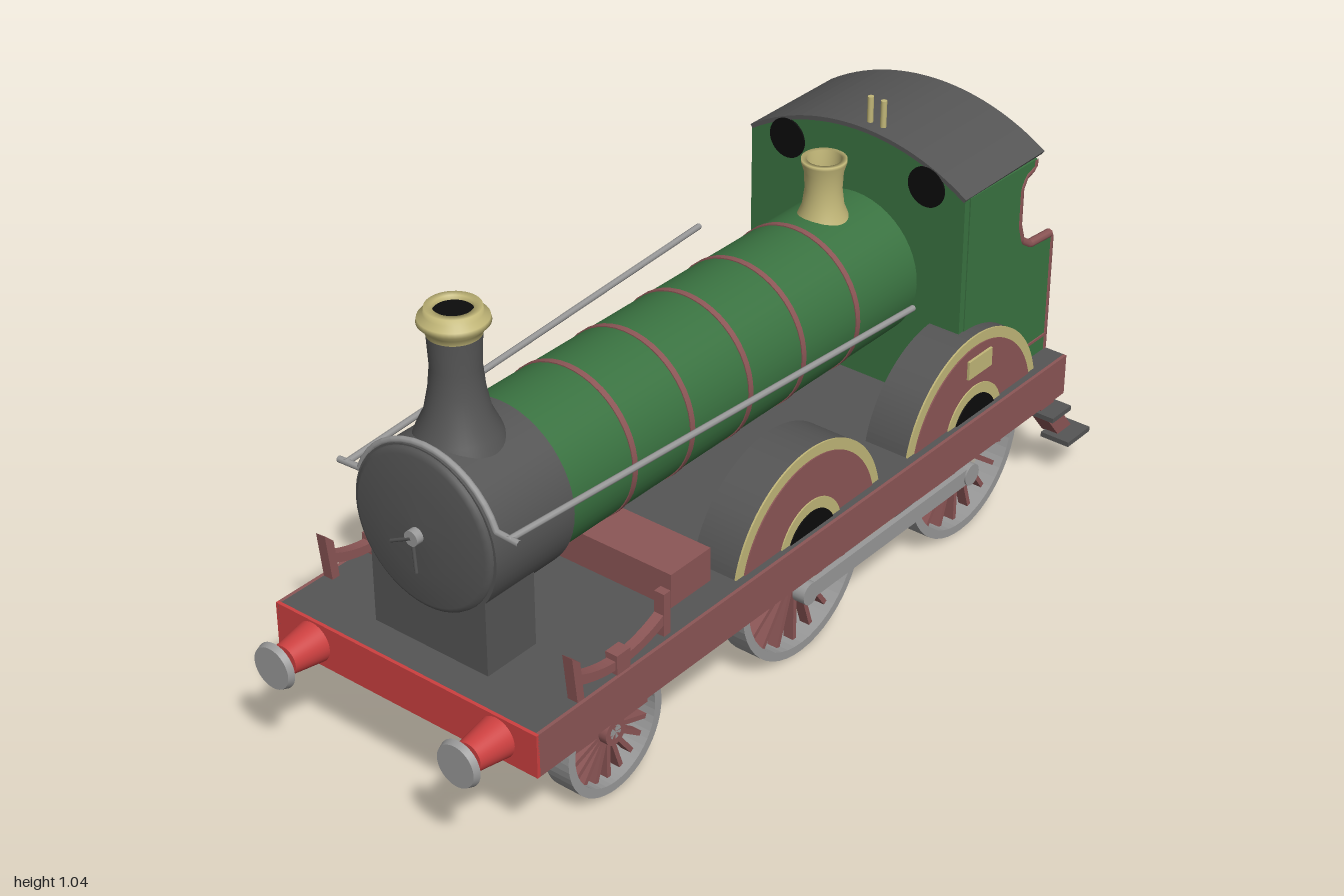
import * as THREE from 'three';

const mat = (name, color, side = THREE.FrontSide) => {
  const m = new THREE.MeshStandardMaterial({ color, side });
  m.name = name;
  return m;
};

export function createModel() {
  const root = new THREE.Group();
  root.name = 'steamEngine';
  const dark = mat('darkGrey', 0x555555, THREE.DoubleSide);
  const green = mat('green', 0x3a7341);
  const maroon = mat('maroon', 0x8c5656);
  const red = mat('red', 0xcc4040);
  const brass = mat('brass', 0xc2b778, THREE.DoubleSide);
  const steel = mat('steel', 0x999999);
  const black = mat('black', 0x0c0c0c);

  const add = (name, geo, m, parent = root) => {
    const mesh = new THREE.Mesh(geo, m);
    mesh.name = name;
    parent.add(mesh);
    return mesh;
  };
  // Box given by its two extremes on each axis
  const box = (name, x0, x1, y0, y1, z0, z1, m) =>
    add(name, new THREE.BoxGeometry(Math.abs(x1 - x0), y1 - y0, Math.abs(z1 - z0))
      .translate((x0 + x1) / 2, (y0 + y1) / 2, (z0 + z1) / 2), m);
  // Cylinder along z
  const zCyl = (name, rFront, rBack, z0, z1, x, y, m, open = false) =>
    add(name, new THREE.CylinderGeometry(rFront, rBack, z1 - z0, 48, 1, open)
      .rotateX(Math.PI / 2).translate(x, y, (z0 + z1) / 2), m);
  // Slab with a (z, y) outline between two x positions
  const slab = (name, shape, xa, xb, z, m) =>
    add(name, new THREE.ExtrudeGeometry(shape, { depth: Math.abs(xb - xa), bevelEnabled: false, curveSegments: 28 })
      .rotateY(-Math.PI / 2).translate(Math.max(xa, xb), 0, z), m);
  const poly = pts => new THREE.Shape(pts.map(p => new THREE.Vector2(p[0], p[1])));
  // Circle of radius r at height cy, cut off below yBase
  const cutDisc = (r, cy, yBase) => {
    const a = Math.asin((yBase - cy) / r);
    return new THREE.Shape().absarc(0, cy, r, a, Math.PI - a, false);
  };
  const lathe = (name, pts, y, z, m) =>
    add(name, new THREE.LatheGeometry(pts.map(p => new THREE.Vector2(p[0], p[1])), 40), m).position.set(0, y, z);
  const tube = (name, pts, r, m) => {
    const path = new THREE.CurvePath();
    for (let i = 1; i < pts.length; i++) {
      path.add(new THREE.LineCurve3(new THREE.Vector3(...pts[i - 1]), new THREE.Vector3(...pts[i])));
    }
    return add(name, new THREE.TubeGeometry(path, pts.length * 8, r, 8), m);
  };

  // Footplate, side frames and front beam
  box('footplate', -0.34, 0.34, 0.22, 0.32, -0.935, 0.875, dark);
  box('bufferBeam', -0.348, 0.348, 0.22, 0.32, 0.875, 0.883, red);
  box('frontTruck', -0.21, 0.21, 0.15, 0.22, 0.5, 0.715, dark);
  box('frontTruckPlate', -0.21, 0.21, 0.15, 0.22, 0.715, 0.722, maroon);
  box('crossBox', -0.28, 0.28, 0.32, 0.4, 0.275, 0.4, maroon);

  // Boiler with bands, smokebox and saddle
  zCyl('boiler', 0.172, 0.172, -0.6, 0.6, 0, 0.597, green);
  for (const z of [0.38, 0.2, 0.01, -0.17, -0.36]) zCyl('boilerBand', 0.1745, 0.1745, z - 0.007, z + 0.007, 0, 0.597, maroon);
  const backhead = add('backhead', new THREE.SphereGeometry(0.17, 36, 20), green);
  backhead.position.set(0, 0.597, -0.6);
  backhead.scale.z = 0.4;
  zCyl('smokebox', 0.184, 0.184, 0.575, 0.8, 0, 0.597, dark);
  const door = add('smokeboxDoor', new THREE.LatheGeometry(
    [[0.178, 0], [0.176, 0.008], [0.165, 0.014], [0.09, 0.022], [0, 0.025]].map(p => new THREE.Vector2(...p)), 48)
    .rotateX(Math.PI / 2), dark);
  door.position.set(0, 0.6, 0.798);
  box('saddle', -0.15, 0.15, 0.32, 0.52, 0.66, 0.8, dark);
  zCyl('doorBoss', 0.017, 0.017, 0.82, 0.84, 0, 0.598, steel);
  tube('doorHandle', [[0, 0.598, 0.835], [0.006, 0.52, 0.835]], 0.004, dark);
  tube('doorHandle', [[0, 0.598, 0.838], [-0.055, 0.57, 0.838]], 0.004, dark);

  // Chimney and safety valve cover
  lathe('chimney', [[0.1, -0.03], [0.085, 0.01], [0.066, 0.05], [0.056, 0.1], [0.051, 0.15], [0.055, 0.23]], 0.77, 0.695, dark);
  lathe('chimneyCap', [[0.055, 0], [0.058, 0.012], [0.072, 0.026], [0.07, 0.036], [0.058, 0.045], [0.056, 0.057], [0.04, 0.057], [0.04, 0.04]],
    0.988, 0.695, brass);
  lathe('chimneyBore', [[0.042, 0], [0, 0.001]], 1.035, 0.695, black);
  lathe('valveCover', [[0.058, 0], [0.046, 0.03], [0.041, 0.07], [0.043, 0.11], [0.05, 0.133], [0.05, 0.14], [0.038, 0.14], [0.036, 0.05]],
    0.757, -0.46, brass);

  // Hand rail over the smokebox
  const arc = [];
  for (let i = 0; i <= 16; i++) {
    const a = 0.36 + (Math.PI - 0.72) * i / 16;
    arc.push([0.19 * Math.cos(a), 0.597 + 0.187 * Math.sin(a), 0.79]);
  }
  tube('smokeboxRail', [[0.235, 0.66, 0.79], ...arc, [-0.235, 0.66, 0.79]], 0.007, steel);

  // Cab: front wall, roof, sides
  const R = 0.528, cy = 0.402, half = Math.asin(0.29 / R);
  const wall = new THREE.Shape();
  wall.moveTo(-0.288, 0.32);
  wall.lineTo(0.288, 0.32);
  wall.absarc(0, cy, R - 0.006, Math.PI / 2 - half, Math.PI / 2 + half, false);
  add('cabFront', new THREE.ExtrudeGeometry(wall, { depth: 0.02, bevelEnabled: false, curveSegments: 12 })
    .translate(0, 0, -0.598), green);
  const roof = new THREE.Shape();
  roof.absarc(0, cy, R, Math.PI / 2 - half, Math.PI / 2 + half, false);
  roof.absarc(0, cy, R - 0.01, Math.PI / 2 + half, Math.PI / 2 - half, true);
  add('cabRoof', new THREE.ExtrudeGeometry(roof, { depth: 0.3, bevelEnabled: false, curveSegments: 12 })
    .translate(0, 0, -0.876), dark);
  const rear = [[-0.85, 0.835], [-0.85, 0.815], [-0.815, 0.805], [-0.8, 0.78], [-0.8, 0.69], [-0.815, 0.645],
    [-0.85, 0.622], [-0.935, 0.615], [-0.935, 0.32]];
  const side = poly([[-0.595, 0.32], [-0.595, 0.84], ...rear]);
  box('cabInnerPanel', -0.27, -0.264, 0.42, 0.835, -0.78, -0.6, black);
  for (const x of [0.01, 0.045]) {
    add('whistle', new THREE.CylinderGeometry(0.007, 0.007, 0.07, 12).translate(x, 0.955, -0.61), brass);
  }

  // Spoked wheel with its centre at the origin, turning about x
  const wheel = (name, r, spokes, x, y, z) => {
    const g = new THREE.Group();
    g.name = name;
    g.position.set(x, y, z);
    const ring = [[r - 0.02, -0.032], [r, -0.032], [r, 0.032], [r - 0.02, 0.032], [r - 0.02, -0.032]];
    const tyre = new THREE.LatheGeometry(ring.map(p => new THREE.Vector2(...p)), 48).toNonIndexed();
    tyre.computeVertexNormals();
    add('tyre', tyre.rotateZ(Math.PI / 2), steel, g);
    add('hub', new THREE.CylinderGeometry(0.03, 0.03, 0.064, 20).rotateZ(Math.PI / 2), maroon, g);
    for (let i = 0; i < spokes; i++) {
      add('spoke', new THREE.BoxGeometry(0.025, r - 0.03, 0.011)
        .translate(0, (r - 0.01) / 2 + 0.005, 0).rotateX(i / spokes * Math.PI * 2), maroon, g);
    }
    root.add(g);
  };
  const axles = [[0, 0.21, 0.205], [-0.595, 0.21, 0.205], [0.61, 0.15, 0.142]];
  for (const [z, y] of axles) {
    add('axle', new THREE.CylinderGeometry(0.016, 0.016, 0.62, 16).rotateZ(Math.PI / 2).translate(0, y, z), steel);
  }

  // Everything that appears on both sides
  const bracket = poly([[-0.84, 0.22], [-0.895, 0.22], [-0.985, 0.108], [-0.93, 0.108]]);
  const spring = new THREE.Shape();
  spring.moveTo(0.485, 0.385);
  spring.quadraticCurveTo(0.62, 0.315, 0.755, 0.385);
  spring.lineTo(0.755, 0.36);
  spring.quadraticCurveTo(0.62, 0.3, 0.485, 0.36);
  for (const s of [1, -1]) {
    box('sideFrame', s * 0.34, s * 0.348, 0.22, 0.32, -0.935, 0.883, maroon);

    // Buffers
    zCyl('bufferHousing', 0.033, 0.046, 0.88, 0.965, s * 0.246, 0.27, red);
    zCyl('bufferRod', 0.016, 0.016, 0.96, 0.99, s * 0.246, 0.27, dark);
    zCyl('bufferHead', 0.047, 0.052, 0.986, 1, s * 0.246, 0.27, steel);

    // Wheels and coupling rod
    for (const [z, y, r] of axles) wheel(r > 0.18 ? 'drivingWheel' : 'frontWheel', r, 20, s * 0.278, y, z);
    box('couplingRod', s * 0.315, s * 0.328, 0.14, 0.18, -0.59, -0.005, steel);
    for (const z of [0, -0.595]) {
      add('crankPin', new THREE.CylinderGeometry(0.026, 0.026, 0.03, 20).rotateZ(Math.PI / 2).translate(s * 0.317, 0.16, z), steel);
    }

    // Splashers with layered trim
    for (const z of [0, -0.595]) {
      slab('splasher', cutDisc(0.25, 0.264, 0.32), s * 0.21, s * 0.318, z, dark);
      slab('splasherRim', cutDisc(0.251, 0.264, 0.32), s * 0.318, s * 0.322, z, brass);
      slab('splasherFace', cutDisc(0.226, 0.264, 0.32), s * 0.322, s * 0.325, z, maroon);
      slab('axleArch', cutDisc(0.105, 0.286, 0.32), s * 0.325, s * 0.328, z, brass);
      slab('axleOpening', cutDisc(0.08, 0.286, 0.32), s * 0.328, s * 0.331, z, black);
    }
    box('splasherPlate', s * 0.325, s * 0.331, 0.42, 0.465, -0.65, -0.562, brass);

    // Cab side, its lining and front window
    slab('cabSide', side, s * 0.27, s * 0.29, 0, green);
    tube('cabLining', rear.map(([z, y]) => [s * 0.282, y, z + 0.003]), 0.0105, maroon);
    box('cabLowerLining', s * 0.29, s * 0.293, 0.357, 0.363, -0.93, -0.8, maroon);
    zCyl('cabWindow', 0.047, 0.047, -0.602, -0.574, s * 0.187, 0.842, black);

    // Rear steps
    slab('stepBracket', bracket, s * 0.3, s * 0.345, 0, maroon);
    box('upperTread', s * 0.31, s * 0.385, 0.2, 0.212, -0.91, -0.835, dark);
    box('lowerTread', s * 0.31, s * 0.385, 0.1, 0.112, -1, -0.91, dark);

    // Front springs
    slab('leafSpring', spring, s * 0.315, s * 0.338, 0, maroon);
    slab('springHanger', poly([[0.735, 0.32], [0.755, 0.32], [0.768, 0.43], [0.745, 0.41]]), s * 0.315, s * 0.34, 0, maroon);
    slab('springHanger', poly([[0.475, 0.33], [0.495, 0.33], [0.495, 0.43], [0.475, 0.43]]), s * 0.315, s * 0.34, 0, maroon);
    box('springBuckle', s * 0.312, s * 0.342, 0.32, 0.365, 0.6, 0.64, maroon);

    // Long hand rail
    tube('handRail', [[s * 0.29, 0.662, -0.395], [s * 0.212, 0.662, 0.795]], 0.007, steel);
  }
  return root;
}
